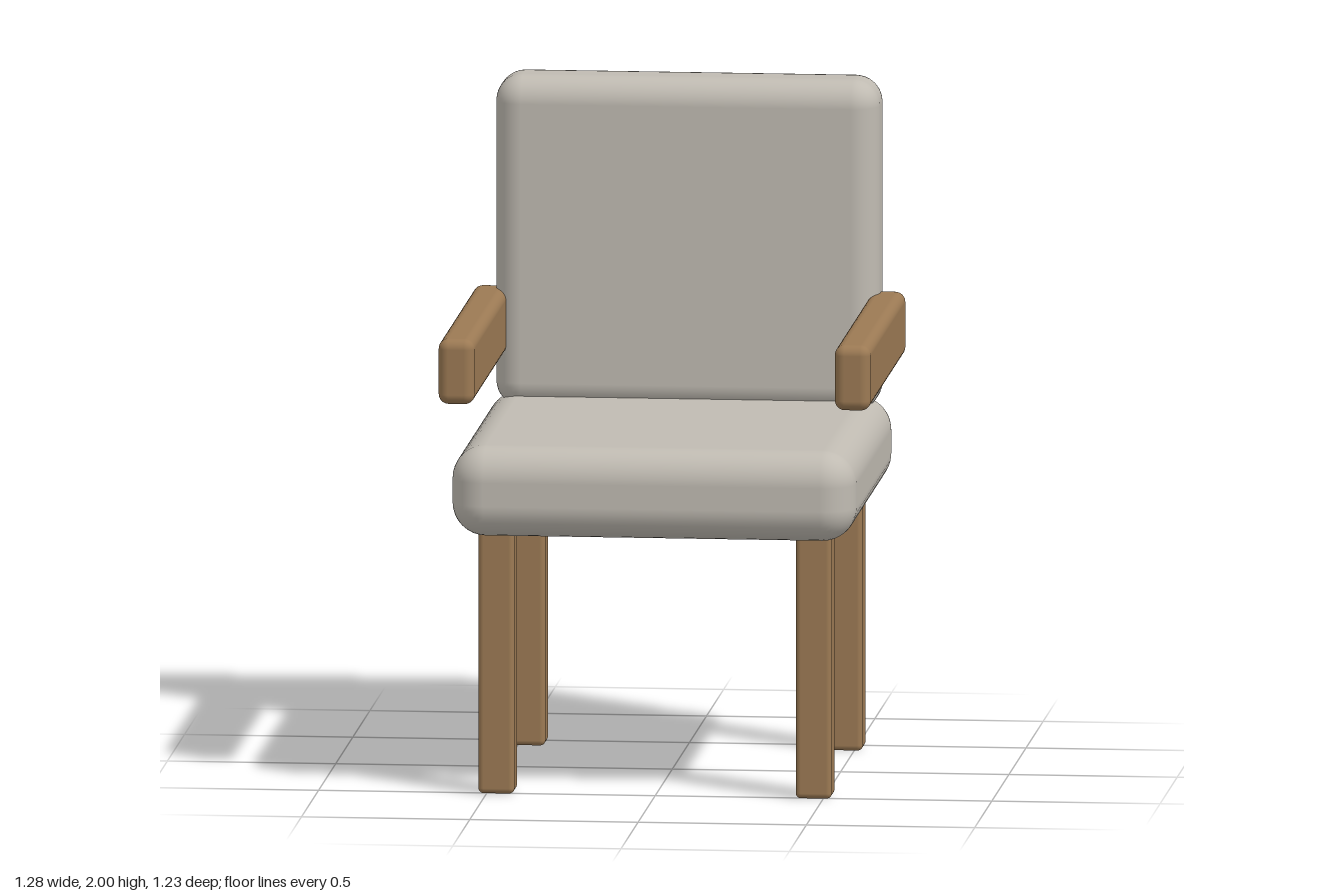
import * as THREE from 'three';
import { RoundedBoxGeometry } from 'three/addons/geometries/RoundedBoxGeometry.js';

export function createModel() {
  const fabric = new THREE.MeshStandardMaterial({ name: 'upholstery', color: 0xc0bbb2 });
  const wood = new THREE.MeshStandardMaterial({ name: 'wood', color: 0x9c7a54 });
  const chair = new THREE.Group();
  chair.name = 'armchair';

  // Rounded block spanning the given [min, max] ranges
  function block(name, material, [x0, x1], [y0, y1], [z0, z1], radius) {
    const geometry = new RoundedBoxGeometry(x1 - x0, y1 - y0, z1 - z0, 5, radius);
    const mesh = new THREE.Mesh(geometry, material);
    mesh.name = name;
    mesh.position.set((x0 + x1) / 2, (y0 + y1) / 2, (z0 + z1) / 2);
    chair.add(mesh);
  }

  // Cushions
  block('seat', fabric, [-0.6, 0.6], [0.775, 1.045], [-0.597, 0.617], 0.1);
  block('backrest', fabric, [-0.57, 0.57], [1.005, 2], [-0.617, -0.387], 0.08);

  // Armrests and legs, mirrored left and right
  for (const [side, s] of [['left', 1], ['right', -1]]) {
    const span = (a, b) => (s > 0 ? [a, b] : [-b, -a]);
    block(side + 'Armrest', wood, span(0.535, 0.642), [1.165, 1.36], [-0.523, 0.54], 0.03);
    block(side + 'FrontLeg', wood, span(0.418, 0.525), [0, 0.82], [0.41, 0.517], 0.016);
    block(side + 'BackLeg', wood, span(0.418, 0.525), [0, 0.82], [-0.495, -0.388], 0.016);
  }
  return chair;
}
